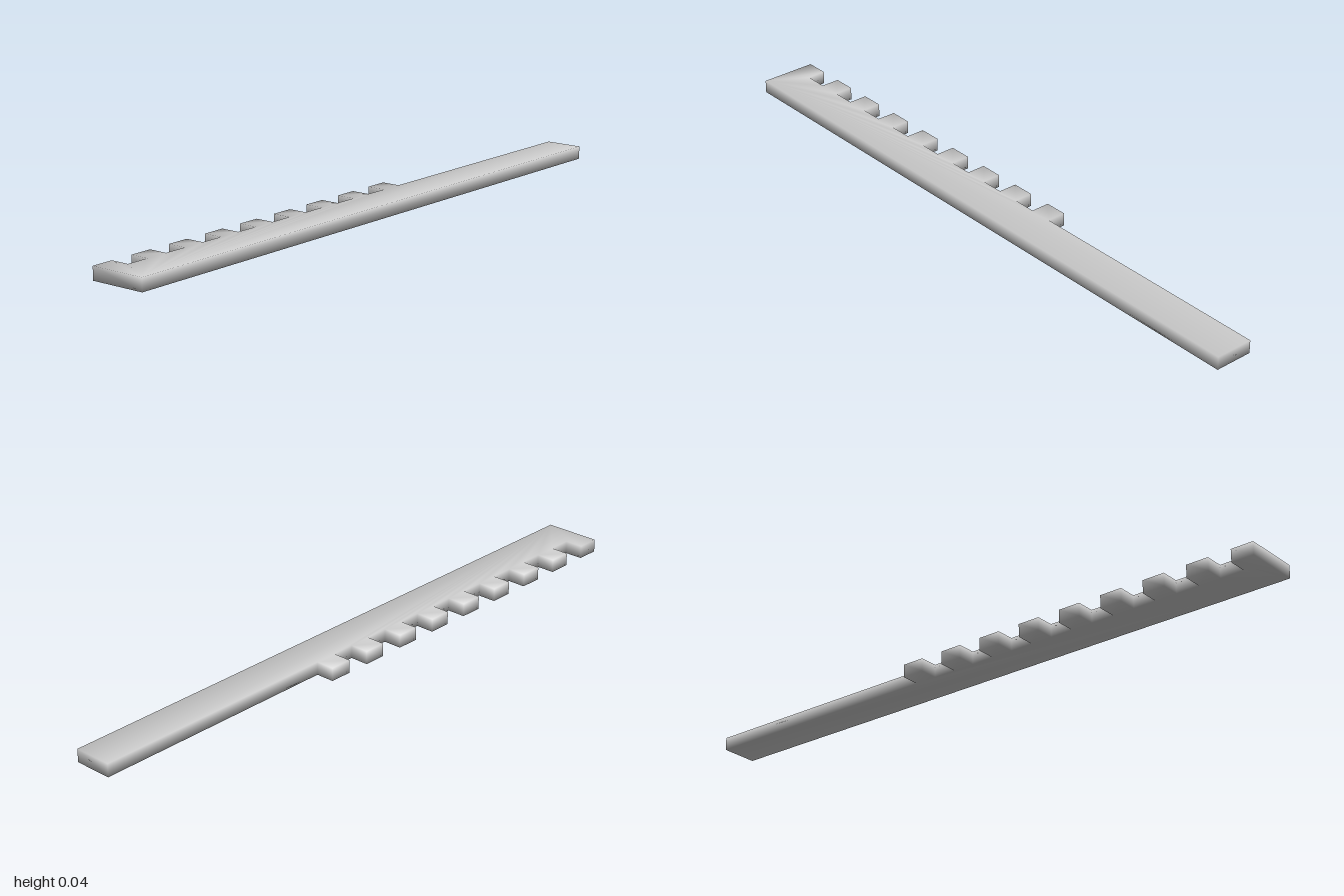
import * as THREE from 'three';
import { mergeVertices } from 'three/addons/utils/BufferGeometryUtils.js';

const THICKNESS = 0.04;
const FRONT = -0.088; // outline y runs towards the back
const SPINE = 0.03;
const TIP = 0.088;
const TEETH = 9, PITCH = 0.1425, TOOTH_WIDTH = 0.07;

export function createModel() {
  const group = new THREE.Group();
  group.name = 'toothedBar';

  // Outline: straight bar with a row of square teeth along the back edge
  const outline = new THREE.Shape();
  outline.moveTo(-1, FRONT);
  outline.lineTo(1, FRONT);
  outline.lineTo(1, SPINE);
  for (let i = TEETH - 1; i >= 0; i--) {
    const left = -1 + i * PITCH, right = left + TOOTH_WIDTH;
    outline.lineTo(right, SPINE);
    outline.lineTo(right, TIP);
    outline.lineTo(left, TIP);
    if (i > 0) outline.lineTo(left, SPINE);
  }
  outline.closePath();

  // Lay the plate flat, then share vertices for soft shading over the edges
  let geometry = new THREE.ExtrudeGeometry(outline, { depth: THICKNESS, bevelEnabled: false });
  geometry.rotateX(-Math.PI / 2);
  geometry.deleteAttribute('normal');
  geometry.deleteAttribute('uv');
  geometry = mergeVertices(geometry, 1e-4);
  geometry.computeVertexNormals();

  const rack = new THREE.Mesh(geometry, new THREE.MeshStandardMaterial({ color: 0xcccccc }));
  rack.name = 'rack';
  group.add(rack);
  return group;
}
